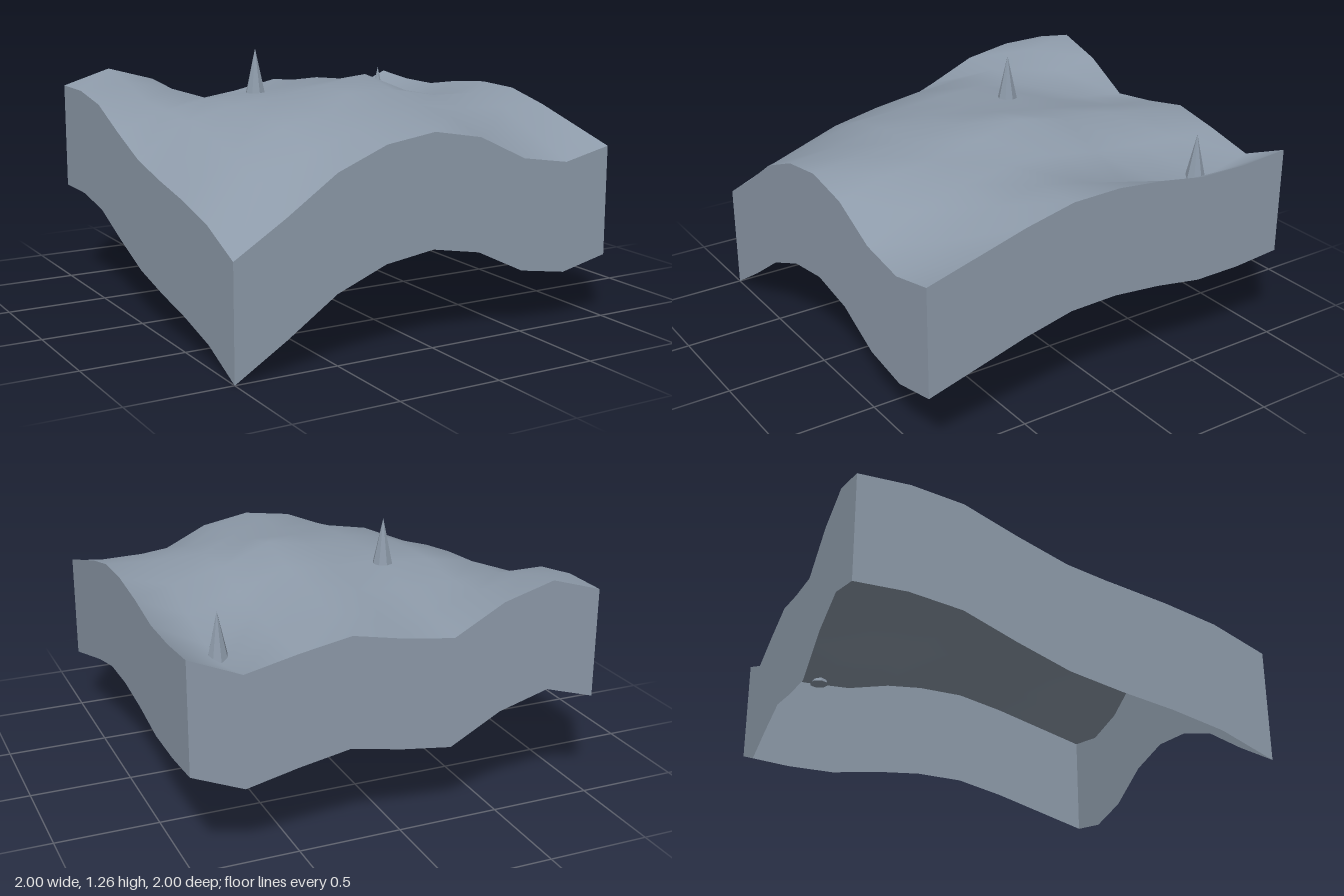
import * as THREE from 'three';

// Ground heights: rows run back to front, columns run from -x to +x
const HEIGHTS = [
  [1.04, 1.115, 1.045, 0.91, 0.945, 0.995, 0.95, 0.895, 1.0],
  [1.04, 1.07, 1.02, 0.94, 0.97, 1.02, 0.95, 0.84, 0.98],
  [1.0, 1.0, 0.99, 0.985, 1.015, 1.06, 0.97, 0.85, 0.98],
  [0.895, 0.985, 1.03, 1.04, 1.05, 1.08, 0.99, 0.91, 1.02],
  [0.8, 0.965, 1.02, 1.05, 1.09, 1.13, 1.03, 0.98, 1.045],
  [0.745, 0.93, 1.0, 1.045, 1.075, 1.08, 1.035, 1.03, 1.04],
  [0.7, 0.88, 0.985, 1.03, 1.04, 1.035, 1.0, 0.99, 0.985],
  [0.64, 0.79, 0.91, 0.99, 1.03, 1.015, 0.93, 0.89, 0.915],
  [0.535, 0.69, 0.86, 0.96, 0.995, 0.95, 0.83, 0.79, 0.845],
];
const N = 8;
const SKIRT = 0.535;

const coord = (i) => -1 + (2 * i) / N;

// Vertical strip hanging from a run of [column, row] grid points
function skirtGeometry(cells) {
  const positions = [];
  const index = [];
  cells.forEach(([c, r], i) => {
    const y = HEIGHTS[r][c];
    positions.push(coord(c), y, coord(r), coord(c), y - SKIRT, coord(r));
    if (i < cells.length - 1) {
      const a = i * 2;
      index.push(a, a + 1, a + 2, a + 1, a + 3, a + 2);
    }
  });
  const geometry = new THREE.BufferGeometry();
  geometry.setAttribute('position', new THREE.Float32BufferAttribute(positions, 3));
  geometry.setIndex(index);
  geometry.computeVertexNormals();
  return geometry;
}

export function createModel() {
  const group = new THREE.Group();
  group.name = 'terrainTile';
  const stone = new THREE.MeshStandardMaterial({ color: 0x8e9baa, side: THREE.DoubleSide });
  stone.name = 'blue grey stone';

  const add = (name, geometry) => {
    const mesh = new THREE.Mesh(geometry, stone);
    mesh.name = name;
    group.add(mesh);
    return mesh;
  };

  // Rolling ground with smooth normals
  const ground = new THREE.PlaneGeometry(2, 2, N, N).rotateX(-Math.PI / 2);
  const pos = ground.attributes.position;
  HEIGHTS.flat().forEach((y, i) => pos.setY(i, y));
  ground.computeVertexNormals();
  add('ground', ground);

  // Four skirts following the rim, open underneath
  const run = [...Array(N + 1).keys()];
  add('frontSkirt', skirtGeometry(run.map((i) => [i, N])));
  add('rightSideSkirt', skirtGeometry(run.map((i) => [N, N - i])));
  add('backSkirt', skirtGeometry(run.map((i) => [N - i, 0])));
  add('leftSideSkirt', skirtGeometry(run.map((i) => [0, i])));

  // Small faceted spikes standing on the ground
  const spike = new THREE.ConeGeometry(0.05, 0.225, 8).toNonIndexed();
  spike.translate(0, 0.1125, 0);
  spike.computeVertexNormals();
  add('centreSpike', spike).position.set(-0.25, 1.04, -0.25);
  add('valleySpike', spike).position.set(0.75, 0.845, -0.67);

  return group;
}
